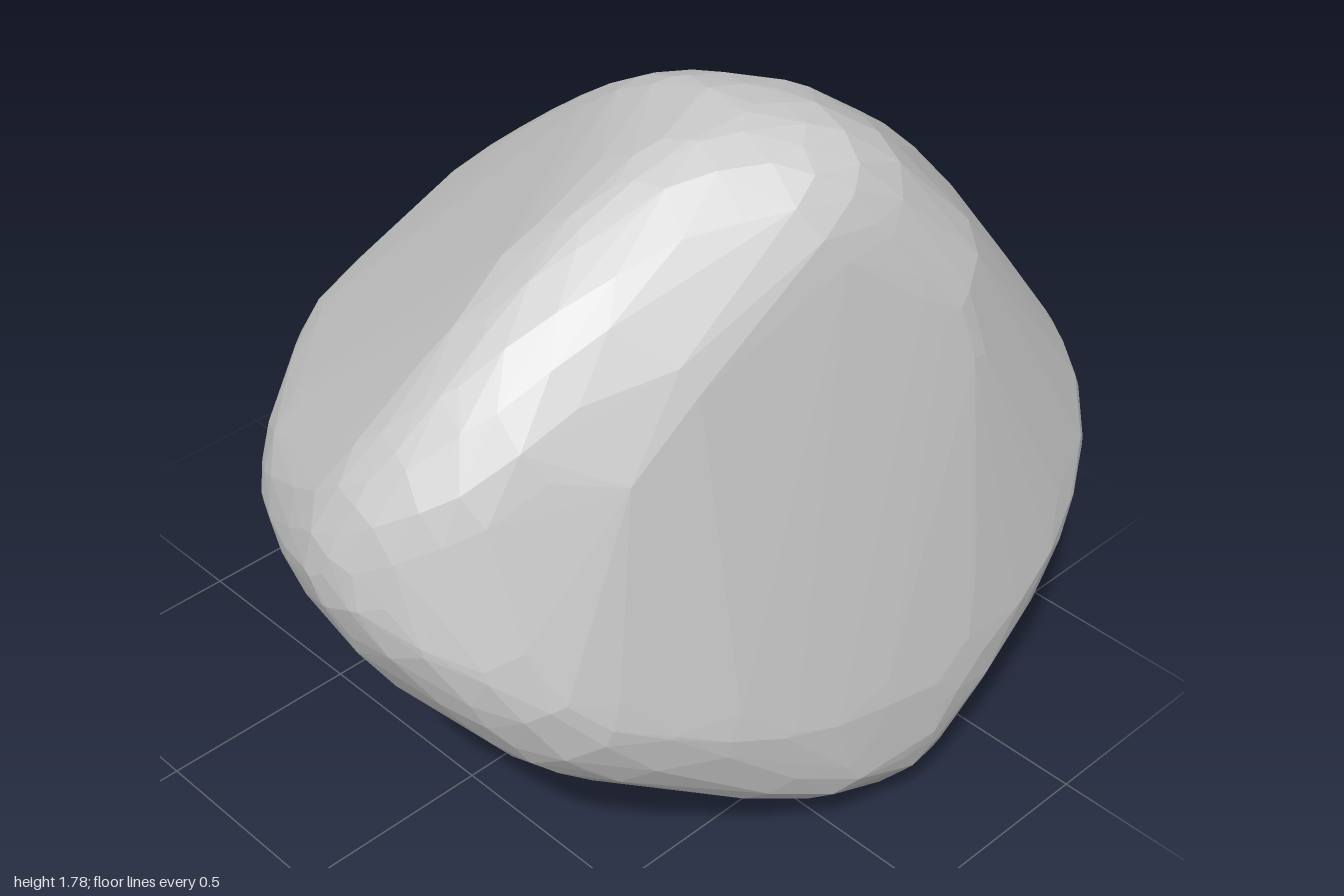
import * as THREE from 'three';
import { ConvexGeometry } from 'three/addons/geometries/ConvexGeometry.js';

const MIDDLE = new THREE.Vector3(0, 0.85, 0);

// Girdle around the front face, clockwise from the crown (outline lies across z)
const rim = [
  [-0.02, 1.78, 0.38], [0.2, 1.73, 0.32], [0.4, 1.59, 0.27], [0.6, 1.44, 0.23], [0.8, 1.24, 0.19],
  [0.93, 1.04, 0.19], [1, 0.84, 0.23], [0.93, 0.66, 0.3], [0.8, 0.45, 0.35], [0.6, 0.24, 0.4],
  [0.4, 0.09, 0.42], [0.25, 0.015, 0.41], [0.12, 0, 0.4], [-0.05, 0.03, 0.4], [-0.2, 0.11, 0.4],
  [-0.4, 0.24, 0.37], [-0.6, 0.38, 0.33], [-0.8, 0.57, 0.25], [-0.94, 0.77, 0.19], [-1, 0.97, 0.16],
  [-0.95, 1.18, 0.22], [-0.8, 1.37, 0.28], [-0.6, 1.54, 0.3], [-0.4, 1.66, 0.32], [-0.2, 1.75, 0.35],
];
// Spine over the crown, down the back ridge, under the foot and up the front (across x)
const spine = [
  [-0.02, 1.78, 0.38], [0.02, 1.76, 0.2], [0.06, 1.68, 0], [0.1, 1.55, -0.2], [0.12, 1.31, -0.5],
  [0.1, 1.12, -0.7], [0.06, 0.95, -0.8], [0.03, 0.78, -0.85], [0.06, 0.67, -0.83], [0.12, 0.54, -0.75],
  [0.17, 0.39, -0.6], [0.18, 0.27, -0.4], [0.16, 0.15, -0.2], [0.13, 0.03, 0.15], [0.12, 0, 0.4],
  [0.14, 0.03, 0.6], [0.16, 0.11, 0.77], [0.2, 0.25, 0.84], [0.25, 0.42, 0.85], [0.3, 0.7, 0.82],
  [0.3, 1, 0.78], [0.3, 1.3, 0.74], [0.18, 1.45, 0.7], [0.05, 1.67, 0.62], [0, 1.75, 0.52],
];
// Waist from the back tip round both corners (across y)
const waist = [
  [0.03, 0.78, -0.85], [0.3, 0.8, -0.79], [0.5, 0.82, -0.68], [0.65, 0.82, -0.54], [0.8, 0.83, -0.33],
  [0.9, 0.84, -0.12], [0.97, 0.84, 0.05], [1, 0.84, 0.25], [0.95, 0.8, 0.5], [0.85, 0.72, 0.68],
  [0.7, 0.62, 0.78], [0.5, 0.5, 0.83], [0.25, 0.42, 0.85], [0, 0.45, 0.83], [-0.2, 0.48, 0.8],
  [-0.5, 0.6, 0.72], [-0.75, 0.75, 0.61], [-0.9, 0.88, 0.46], [-0.98, 0.95, 0.3], [-1, 0.97, 0.16],
  [-0.97, 0.95, 0.02], [-0.8, 0.86, -0.32], [-0.6, 0.83, -0.53], [-0.4, 0.82, -0.7], [-0.2, 0.8, -0.81],
];
// Swellings between the loops
const bulges = [
  // edge of the front face, upper left and upper right
  [0.47, 1.36, 0.6], [0.62, 1.1, 0.62], [-0.4, 1.48, 0.56], [-0.6, 1.28, 0.55], [-0.72, 1, 0.55],
  // edge of the front face, lower right and lower left
  [-0.03, 0.2, 0.79], [-0.22, 0.28, 0.75], [-0.48, 0.5, 0.68], [0.4, 0.28, 0.8], [0.62, 0.42, 0.77],
  // underside, left
  [0.6, 0.45, 0.05], [0.78, 0.62, -0.08],
];

// Evenly scattered points on a ball that touches the surface at p from inside
function ballInside(p, outward, radius, count, spin) {
  const center = p.clone().addScaledVector(outward, -radius);
  return Array.from({ length: count }, (_, i) => {
    const h = 1 - (2 * i + 1) / count;
    const a = i * Math.PI * (3 - Math.sqrt(5)) + spin;
    const s = Math.sqrt(1 - h * h);
    return new THREE.Vector3(s * Math.cos(a), h, s * Math.sin(a)).multiplyScalar(radius).add(center);
  });
}

// Line a loop with balls, so every edge is rounded
function roundedLoop(loop, axis, steps) {
  const curve = new THREE.CatmullRomCurve3(loop.map((p) => new THREE.Vector3(...p)), true);
  const points = [];
  for (let i = 0; i < steps; i++) {
    const p = curve.getPointAt(i / steps);
    const outward = curve.getTangentAt(i / steps).cross(axis).normalize();
    if (outward.dot(p.clone().sub(MIDDLE)) < 0) outward.negate();
    points.push(p, ...ballInside(p, outward, 0.25, 100, i * 1.3));
  }
  return points;
}

export function createModel() {
  const group = new THREE.Group();
  group.name = 'rock';

  // Faceted skin stretched over the three rounded loops and the bulges
  const geometry = new ConvexGeometry([
    ...roundedLoop(rim, new THREE.Vector3(0, 0, 1), 40),
    ...roundedLoop(spine, new THREE.Vector3(1, 0, 0), 40),
    ...roundedLoop(waist, new THREE.Vector3(0, 1, 0), 40),
    ...bulges.flatMap((b, i) => {
      const p = new THREE.Vector3(...b);
      return ballInside(p, p.clone().sub(MIDDLE).normalize(), 0.18, 80, i);
    }),
  ]);
  const stone = new THREE.Mesh(geometry, new THREE.MeshStandardMaterial({ color: 0xcccccc, flatShading: true }));
  stone.name = 'stone';
  group.add(stone);
  return group;
}
